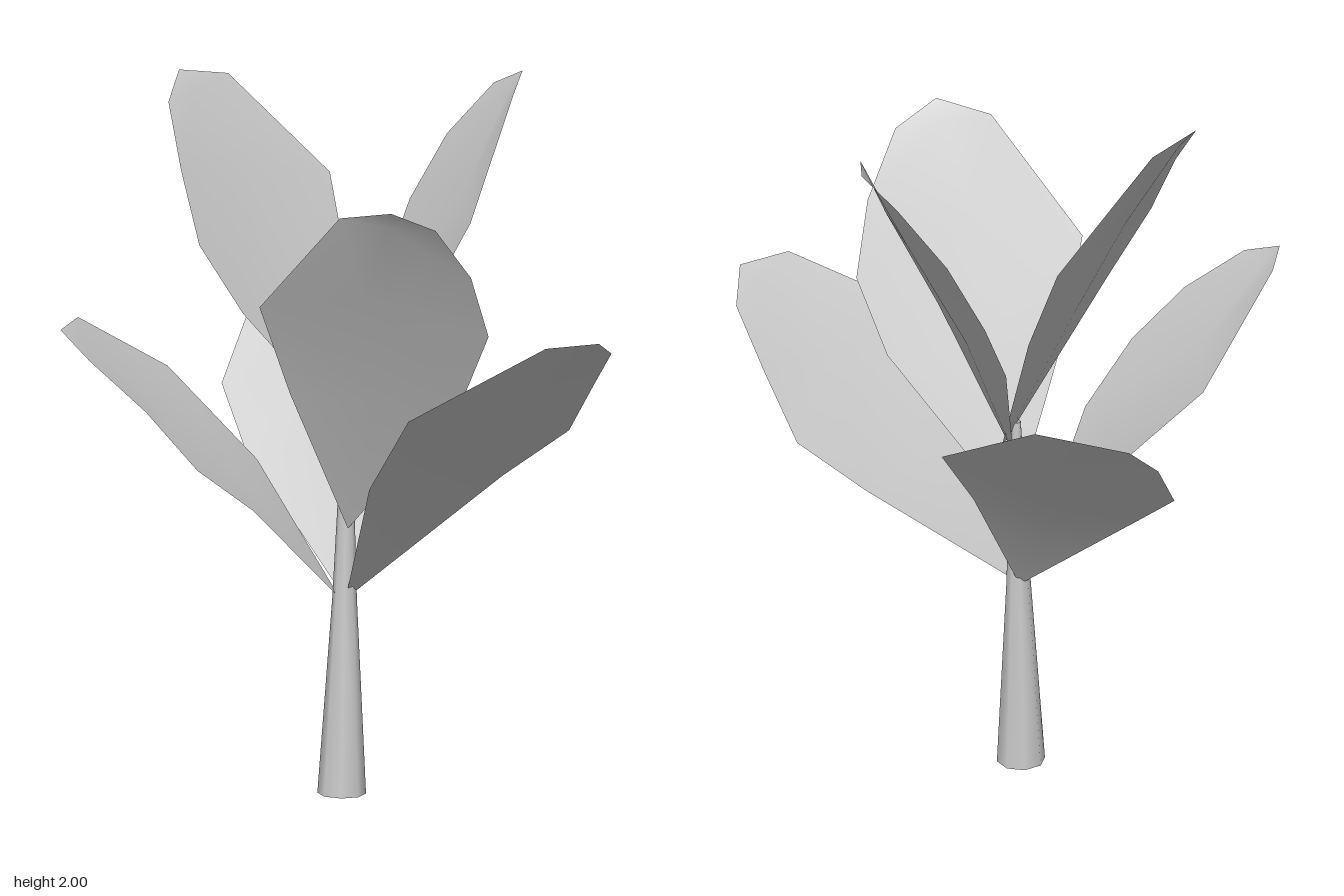
import * as THREE from 'three';

// Half-folded leaf outlines, from one side round the tip to the other, base at the origin
const spreadingLeaf = [
  [0.27, 0.34, -0.34], [0.43, 0.48, -0.44], [0.57, 0.64, -0.4], [0.72, 0.77, -0.325],
  [0.79, 0.83, -0.21], [0.73, 0.83, -0.065], [0.46, 0.62, 0.2], [0.22, 0.37, 0.12],
];
const uprightLeaf = [
  [-0.2, 0.42, -0.31], [-0.215, 0.615, -0.43], [-0.13, 0.805, -0.49], [0.005, 0.965, -0.54],
  [0.135, 1.025, -0.525], [0.23, 0.995, -0.4], [0.34, 0.695, -0.13], [0.21, 0.42, -0.06],
];

// Leaf blade: outline joined to a midrib that is pushed slightly outward
function leafGeometry(outline, cup) {
  const p = [new THREE.Vector3(), ...outline.map((v) => new THREE.Vector3(...v))];
  const normal = new THREE.Vector3().crossVectors(p[2], p[7]).normalize();
  const rib = (a, b, push) =>
    p[a].clone().add(p[b]).multiplyScalar(0.5).addScaledVector(normal, push);
  p.push(rib(1, 8, cup * 0.6), rib(3, 7, cup), rib(4, 6, cup * 0.5));
  const geometry = new THREE.BufferGeometry().setFromPoints(p);
  geometry.setIndex([
    0, 1, 9, 1, 10, 9, 1, 2, 10, 2, 3, 10, 3, 11, 10, 3, 4, 11, 4, 5, 11,
    5, 6, 11, 6, 10, 11, 6, 7, 10, 7, 9, 10, 7, 8, 9, 8, 0, 9,
  ]);
  geometry.computeVertexNormals();
  return geometry;
}

export function createModel() {
  const group = new THREE.Group();
  const material = new THREE.MeshStandardMaterial({ color: 0xcccccc, side: THREE.DoubleSide });

  // Tapering, open-ended stem
  const profile = [[0.067, 0], [0.034, 0.55], [0.022, 0.85], [0.012, 1.05]];
  const stem = new THREE.Mesh(
    new THREE.LatheGeometry(profile.map(([r, y]) => new THREE.Vector2(r, y)), 8), material);
  stem.name = 'stem';
  stem.position.set(-0.055, 0, -0.09);
  stem.rotation.x = -0.02;
  group.add(stem);

  // Two whorls of three leaves: [x, y, z, turn in degrees]
  const whorls = [
    { name: 'lowerLeaf', geometry: leafGeometry(spreadingLeaf, 0.03),
      places: [[-0.05, 0.55, -0.1, 0], [-0.064, 0.55, -0.093, 129], [-0.065, 0.55, -0.11, 236]] },
    { name: 'upperLeaf', geometry: leafGeometry(uprightLeaf, 0.03),
      places: [[-0.05, 0.955, -0.12, 0], [-0.03, 0.755, -0.09, 106.6], [-0.03, 0.975, -0.148, 230]] },
  ];
  for (const { name, geometry, places } of whorls) {
    places.forEach(([x, y, z, turn], i) => {
      const leaf = new THREE.Mesh(geometry, material);
      leaf.name = name + (i + 1);
      leaf.position.set(x, y, z);
      leaf.rotation.y = -THREE.MathUtils.degToRad(turn);
      group.add(leaf);
    });
  }
  return group;
}
